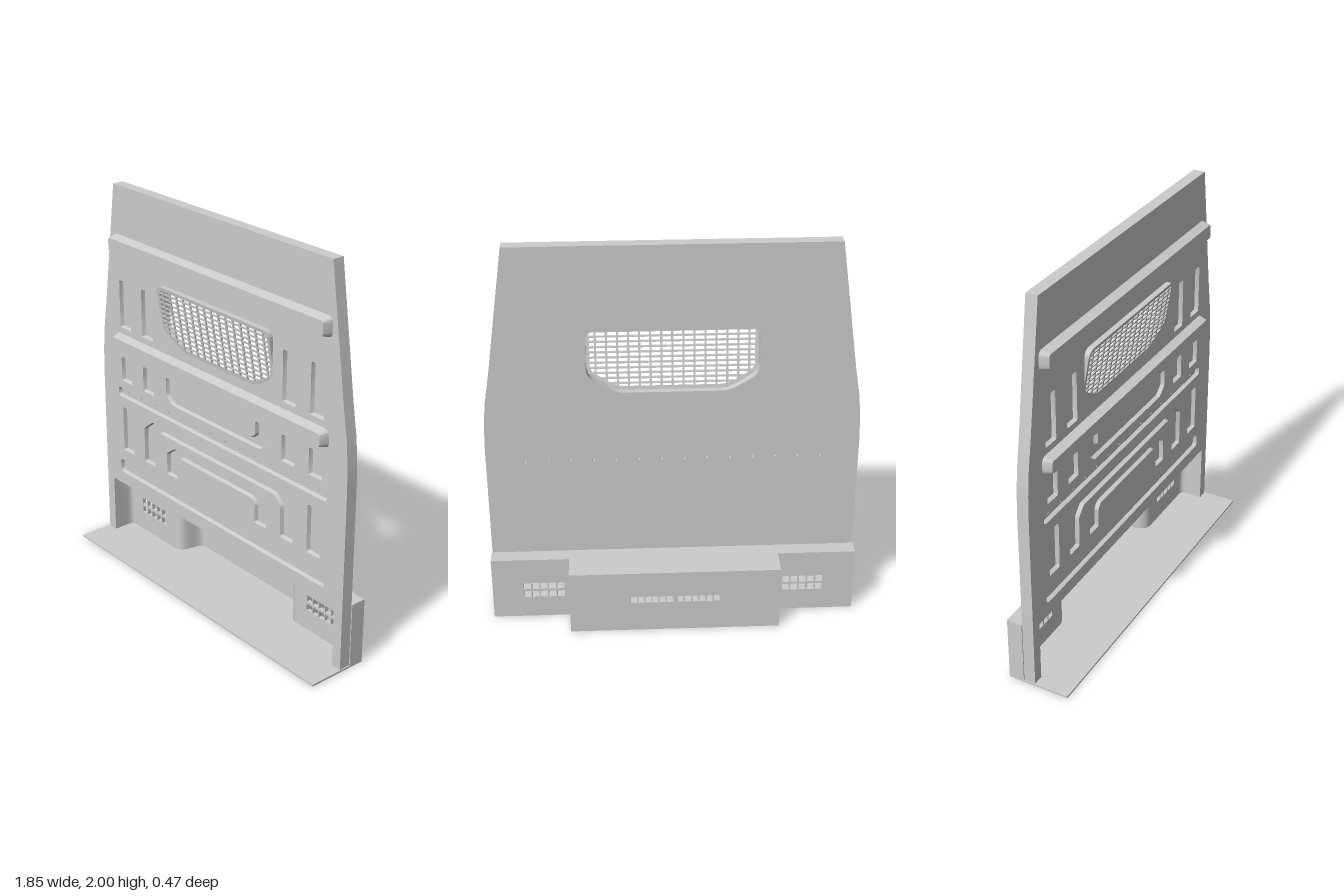
import * as THREE from 'three';
import { toCreasedNormals } from 'three/addons/utils/BufferGeometryUtils.js';

const grey = new THREE.MeshStandardMaterial({ color: 0xcccccc, side: THREE.DoubleSide });
const V = (x, y) => new THREE.Vector2(x, y);
const FRONT = 0.05, BACK = -0.01, POCKET = 0.03;

function add(parent, name, geo) {
  const mesh = new THREE.Mesh(geo, grey);
  mesh.name = name;
  parent.add(mesh);
  return mesh;
}

// Polyline with rounded corners; returns points
function rounded(list, r, closed = true) {
  const p = list.map(([x, y]) => V(x, y)), n = p.length, out = [];
  p.forEach((c, i) => {
    if (!closed && (i === 0 || i === n - 1)) { out.push(c); return; }
    const a = p[(i + n - 1) % n], b = p[(i + 1) % n];
    const toward = (q) => c.clone().lerp(q, Math.min(r / c.distanceTo(q), 0.45));
    out.push(...new THREE.QuadraticBezierCurve(toward(a), c, toward(b)).getPoints(5));
  });
  return out;
}

const rect = (x0, y0, x1, y1) => [[x0, y0], [x1, y0], [x1, y1], [x0, y1]];
const mirrorLoop = (half) => [...half, ...half.map(([x, y]) => [-x, y]).reverse()];

// Offset a loop inward by d
function inset(pts, d) {
  const s = THREE.ShapeUtils.isClockWise(pts) ? -d : d, n = pts.length;
  return pts.map((p, i) => {
    const e = p.clone().sub(pts[(i + n - 1) % n]).normalize();
    const f = pts[(i + 1) % n].clone().sub(p).normalize();
    const k = s / (1 + e.dot(f));
    return V(p.x - (e.y + f.y) * k, p.y + (e.x + f.x) * k);
  });
}

// Wall between two matching outlines at two depths
function loft(a, za, b, zb, closed = true) {
  const pos = [], idx = [], n = a.length;
  a.forEach((p, i) => pos.push(p.x, p.y, za, b[i].x, b[i].y, zb));
  for (let i = 0; i < (closed ? n : n - 1); i++) {
    const j = (i + 1) % n;
    idx.push(2 * i, 2 * j, 2 * i + 1, 2 * j, 2 * j + 1, 2 * i + 1);
  }
  const g = new THREE.BufferGeometry();
  g.setAttribute('position', new THREE.Float32BufferAttribute(pos, 3));
  g.setIndex(idx);
  return toCreasedNormals(g, 0.6);
}

// Flat sheet with holes at depth z
function sheet(pts, holes, z) {
  const s = new THREE.Shape(pts);
  s.holes = holes.map((h) => new THREE.Path(h));
  return new THREE.ShapeGeometry(s).translate(0, 0, z);
}

const pts = (list) => list.map(([x, y]) => V(x, y));

export function createModel() {
  const model = new THREE.Group();
  model.name = 'bulkheadPartition';
  const group = (name) => {
    const g = new THREE.Group();
    g.name = name;
    model.add(g);
    return g;
  };

  // Outlines of the panel and the window
  const side = [[0.92, 0], [0.92, 0.95], [0.916, 1.08], [0.905, 1.2], [0.878, 1.36], [0.785, 2]];
  const rim = pts(mirrorLoop(side));
  const notch = pts([[-0.865, 0], [-0.865, 0.33], [0.865, 0.33], [0.865, 0]]);
  const windowLoop = rounded(mirrorLoop([[0.27, 1.245], [0.415, 1.33], [0.415, 1.57]]), 0.045);

  // Pockets pressed into the front
  const pockets = [], grooves = [];
  for (const s of [-1, 1]) {
    for (const [x0, x1, y0, y1] of [[0.67, 0.76, 1.245, 1.5], [0.485, 0.575, 1.245, 1.5],
      [0.67, 0.76, 0.945, 1.08], [0.485, 0.575, 0.945, 1.08], [0.67, 0.76, 0.54, 0.79]])
      pockets.push(rounded(rect(s * x0, y0, s * x1, y1), 0.01));
  }
  pockets.push(
    rounded(mirrorLoop([[0.335, 0.945], [0.385, 0.985], [0.385, 1.08], [0.3, 1.08], [0.3, 1.01], [0.265, 0.985]]), 0.012),
    rounded(mirrorLoop([[0.505, 0.79], [0.575, 0.735], [0.575, 0.54], [0.485, 0.54], [0.485, 0.705], [0.44, 0.75]]), 0.012),
    rounded(mirrorLoop([[0.32, 0.705], [0.385, 0.66], [0.385, 0.54], [0.3, 0.54], [0.3, 0.64], [0.275, 0.665]]), 0.012));
  grooves.push(rounded(rect(-0.795, 0.85, 0.795, 0.9), 0.02), rounded(rect(-0.795, 0.4, 0.795, 0.475), 0.025));
  const recesses = [...pockets, ...grooves];

  // Row of small through holes
  const screwHoles = [];
  for (let i = 0; i < 14; i++)
    screwHoles.push(new THREE.Path().absarc(-0.728 + i * 0.112, 0.875, 0.007, 0, Math.PI * 2).getPoints(3).slice(0, -1));

  const panel = group('panel');
  add(panel, 'frontFace', sheet([...rim, ...notch], [windowLoop, ...recesses], FRONT));
  const backRim = rim.map((p) => V(p.x, Math.max(p.y, 0.34)));
  add(panel, 'backFace', sheet(backRim, [windowLoop, ...screwHoles], BACK));
  add(panel, 'edge', loft(rim, FRONT, rim, BACK, false));
  recesses.forEach((p) => {
    const floor = inset(p, 0.006);
    add(panel, 'pocketWall', loft(p, FRONT, floor, POCKET));
    add(panel, 'pocketFloor', sheet(floor, p === grooves[0] ? screwHoles : [], POCKET));
  });
  screwHoles.forEach((h) => add(panel, 'screwHole', loft(h, POCKET, h, BACK)));

  // Raised cross bars
  for (const [y0, y1] of [[1.645, 1.745], [1.12, 1.212]]) {
    const bar = group('crossBar');
    const base = rounded(rect(-0.795, y0, 0.795, y1), 0.03), top = inset(base, 0.014);
    add(bar, 'barSides', loft(base, FRONT, top, 0.095));
    add(bar, 'barFace', sheet(top, [], 0.095));
  }

  // Window frame and mesh on a plane leaning forward at the top
  const lean = (geo) => {
    const p = geo.attributes.position;
    for (let i = 0; i < p.count; i++)
      if (p.getZ(i) > -0.5) p.setZ(i, p.getZ(i) + FRONT + (p.getY(i) - 1.4) * 0.17);
    geo.computeVertexNormals();
    return geo;
  };
  const win = group('window');
  const tube = loft(windowLoop, 0, windowLoop, -1);
  lean(tube);
  const tp = tube.attributes.position;
  for (let i = 0; i < tp.count; i++) if (tp.getZ(i) === -1) tp.setZ(i, BACK);
  add(win, 'windowWall', tube);
  add(win, 'windowFrame', lean(sheet(windowLoop, [inset(windowLoop, 0.018)], 0)));
  const meshBar = (x0, y0, x1, y1) => add(win, 'meshBar',
    lean(new THREE.BoxGeometry(x1 - x0, y1 - y0, 0.008).translate((x0 + x1) / 2, (y0 + y1) / 2, -0.004)));
  for (let i = -7; i <= 7; i++) {
    const x = i * 0.0527, low = 1.25 + Math.max(0, Math.abs(x) - 0.27) * 0.59;
    meshBar(x - 0.005, low, x + 0.005, 1.56);
  }
  for (let j = 0; j < 11; j++) {
    const y = 1.281 + j * 0.0255, w = Math.min(0.405, 0.265 + (y - 1.245) * 1.7);
    meshBar(-w, y - 0.004, w, y + 0.004);
  }

  // Vent openings: columns and rows of rectangles
  const vents = (x0, x1, cols, ys) => {
    const out = [], step = (x1 - x0) / cols;
    for (const y of ys)
      for (let i = 0; i < cols; i++)
        out.push(pts(rect(x0 + i * step + 0.003, y, x0 + (i + 1) * step - 0.003, y + 0.036)));
    return out;
  };

  // Rear housing: flat walls with vents
  const housing = group('rearHousing');
  const ventWall = (outer, zOut, inner, zIn, holes) => {
    add(housing, 'outerWall', sheet(pts(outer), holes, zOut));
    add(housing, 'innerWall', sheet(pts(inner), holes, zIn));
    holes.forEach((h) => add(housing, 'vent', loft(h, zOut, h, zIn)));
  };
  const SIDE = -0.07, DEEP = -0.205, H = 0.345, CEIL = 0.33;
  ventWall(rect(-0.53, 0, 0.53, H), -0.235, rect(-0.36, 0, 0.36, CEIL), DEEP,
    [...vents(-0.23, -0.01, 6, [0.167]), ...vents(0.008, 0.225, 6, [0.167])]);
  for (const s of [-1, 1]) {
    const [a, b] = s > 0 ? [0.556, 0.77] : [-0.77, -0.556];
    ventWall(rect(s * 0.53, 0, s * 0.925, H), -0.09, rect(s * 0.55, 0, s * 0.8, CEIL), SIDE, vents(a, b, 5, [0.118, 0.167]));
    add(housing, 'lip', sheet(pts(rect(s * 0.865, 0, s * 0.925, H)), [], BACK));
  }

  // Housing parts drawn in plan (x, z); depth is minus height
  const plan = group('housingPlanParts');
  plan.rotation.x = Math.PI / 2;
  const outerHalf = [[0.925, BACK], [0.925, -0.09], [0.53, -0.09], [0.53, -0.235]];
  const outerLoop = pts(mirrorLoop(outerHalf));
  add(plan, 'housingTop', sheet(outerLoop, [], -H));
  const corners = [], steps = [];
  for (const s of [1, -1]) {
    const m = (list) => list.map(([x, z]) => [s * x, z]);
    const corner = rounded(m([[0.865, FRONT], [0.865, SIDE], [0.8, SIDE]]), 0.035, false);
    const step = rounded(m([[0.55, SIDE], [0.44, SIDE], [0.415, DEEP], [0.36, DEEP]]), 0.05, false);
    for (const p of [corner, step]) add(plan, 'innerCurvedWall', loft(p, 0, p, -CEIL, false));
    for (const i of [0, 2]) {
      const wall = pts(m(outerHalf.slice(i, i + 2)));
      add(plan, 'housingSide', loft(wall, 0, wall, -H, false));
    }
    corners.push(corner);
    steps.push(step);
  }
  add(plan, 'recessCeiling', sheet([...corners[0], ...steps[0], ...steps[1].reverse(), ...corners[1].reverse()], [], -CEIL));

  // Thin floor plate running forward under the housing
  const floorShape = new THREE.Shape(pts(mirrorLoop([[0.925, 0.23], ...outerHalf.slice(1)])));
  add(plan, 'floorPlate', new THREE.ExtrudeGeometry(floorShape, { depth: 0.01, bevelEnabled: false }).translate(0, 0, -0.01));

  return model;
}
